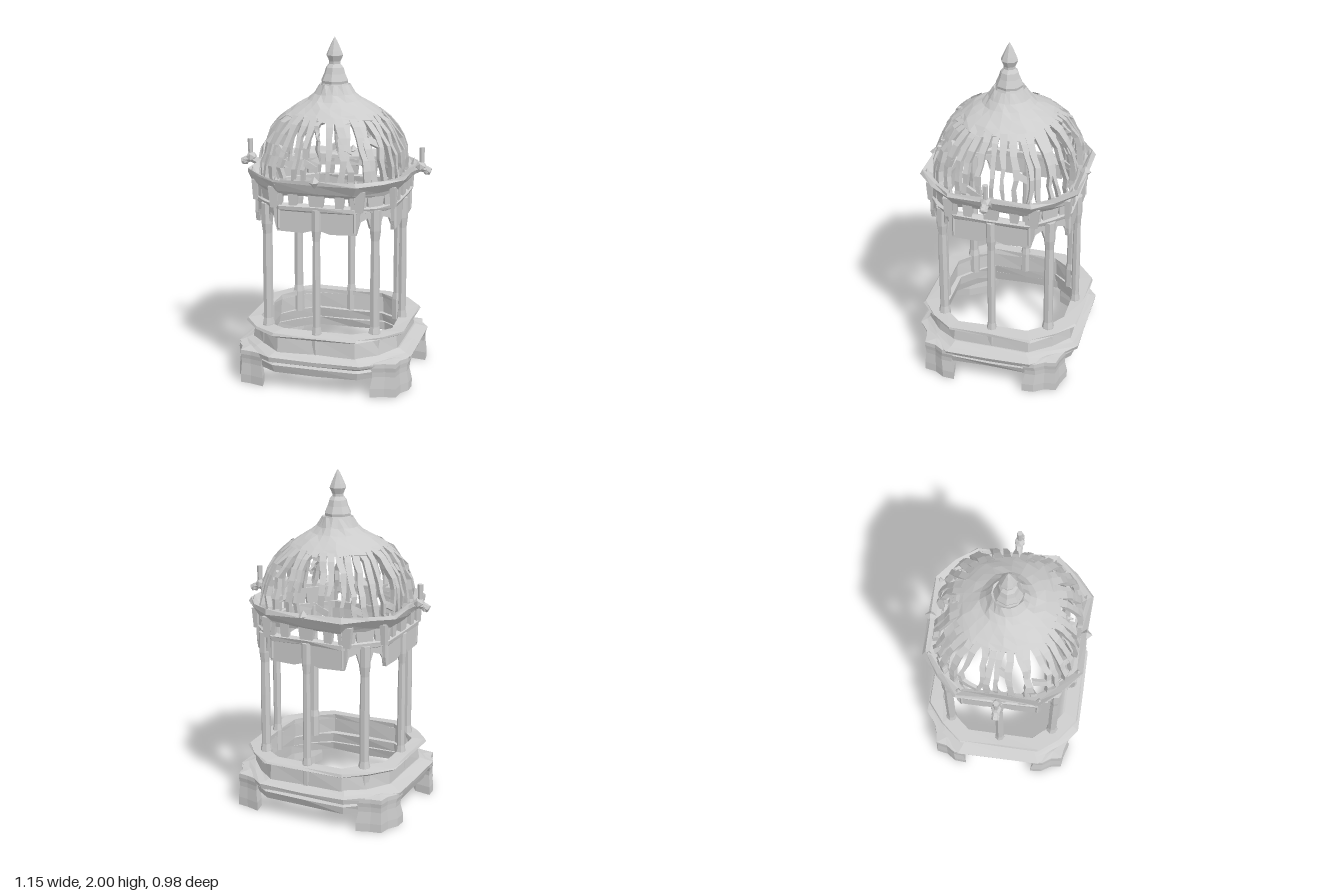
import * as THREE from 'three';

const mat = new THREE.MeshStandardMaterial({ color: 0xcccccc, flatShading: true, side: THREE.DoubleSide });
let seed = 7;
const rnd = () => (seed = (seed * 16807) % 2147483647) / 2147483647;
const wobble = (s) => (rnd() - 0.5) * s;

// Skin a list of equal closed loops; wrap joins the last loop to the first.
function loft(loops, wrap = false) {
  const n = loops[0].length, m = loops.length, pos = [], idx = [];
  loops.forEach((l) => l.forEach((p) => pos.push(p.x, p.y, p.z)));
  for (let i = 0; i < (wrap ? m : m - 1); i++)
    for (let j = 0; j < n; j++) {
      const k = (j + 1) % n, u = ((i + 1) % m) * n;
      idx.push(i * n + j, u + j, u + k, i * n + j, u + k, i * n + k);
    }
  let g = new THREE.BufferGeometry();
  g.setAttribute('position', new THREE.Float32BufferAttribute(pos, 3));
  g.setIndex(idx);
  g = g.toNonIndexed();
  g.computeVertexNormals();
  return g;
}

// Chamfered-square loop with half width h and slightly bowed chamfers
function octagon(h, y, sz, rough) {
  const w = h * 0.52, d = h * 0.785, out = [];
  const quarter = [[h, 0], [h, w], [d, d], [w, h]];
  for (let q = 0; q < 4; q++)
    for (const [px, pz] of quarter) {
      const [x, z] = [[px, pz], [-pz, px], [-px, -pz], [pz, -px]][q];
      out.push(new THREE.Vector3(x + wobble(rough), y + wobble(rough), z * sz + wobble(rough)));
    }
  return out;
}
const ring = (profile, sz = 1, rough = 0.01) => loft(profile.map(([h, y]) => octagon(h, y, sz, rough)), true);

// Dome surface: round at the neck, softly square at the eaves
const domeCurve = new THREE.SplineCurve([[0.415, 1.2], [0.42, 1.3], [0.395, 1.41], [0.33, 1.52], [0.24, 1.595], [0.14, 1.655], [0.09, 1.73]]
  .map(([r, y]) => new THREE.Vector2(r, y)));
function domePoint(t, a, inset) {
  const p = domeCurve.getPoint(t), c = Math.cos(a), s = Math.sin(a);
  const sq = 1 / Math.cbrt(Math.abs(c) ** 3 + Math.abs(s) ** 3);
  const r = (p.x - inset) * THREE.MathUtils.lerp(sq, 1, Math.min(1, t * 1.2));
  return new THREE.Vector3(c * r, p.y - inset * t, s * r);
}

export function createModel() {
  const model = new THREE.Group();
  const add = (name, geo, x = 0, y = 0, z = 0, parent = model) => {
    const m = new THREE.Mesh(geo, mat);
    m.name = name;
    m.position.set(x, y, z);
    parent.add(m);
    return m;
  };

  // Stepped base and low parapet
  add('lowerBase', ring([[0.475, 0.1], [0.488, 0.145], [0.47, 0.16], [0.42, 0.155], [0.43, 0.1]], 0.95));
  add('upperBase', ring([[0.48, 0.16], [0.515, 0.175], [0.52, 0.2], [0.485, 0.215], [0.45, 0.23], [0.40, 0.225], [0.41, 0.165]], 0.94));
  add('parapet', ring([[0.44, 0.22], [0.43, 0.32], [0.40, 0.32], [0.40, 0.22]]));
  add('parapetRail', ring([[0.445, 0.315], [0.478, 0.33], [0.472, 0.345], [0.395, 0.35], [0.395, 0.32]], 0.99));

  // Lobed corner feet
  const footPlan = [[0.52, 0.21], [0.515, 0.28], [0.478, 0.335], [0.465, 0.405], [0.40, 0.415], [0.32, 0.44], [0.335, 0.36], [0.42, 0.23]];
  for (const sx of [-1, 1]) for (const sz of [-1, 1]) {
    const loops = [[0, 0], [1, 0], [1, 0.05], [0.88, 0.12], [0.9, 0.15], [0.97, 0.175], [0.95, 0.2], [0, 0.21]].map(([k, y]) =>
      footPlan.map(([x, z]) => new THREE.Vector3(sx * (0.425 + (x - 0.425) * k), y, sz * (0.345 + (z - 0.345) * k))));
    if (sx * sz < 0) loops.forEach((l) => l.reverse());
    add('foot', loft(loops));
  }

  // Eight columns, slender at the sides and stouter on the corners
  const columnGeo = new THREE.LatheGeometry([[0, 0.22], [0.03, 0.22], [0.03, 0.35], [0.023, 0.39], [0.024, 0.7], [0.021, 0.9],
    [0.028, 0.96], [0.028, 1.08], [0, 1.08]].map(([r, y]) => new THREE.Vector2(r, y)), 7);
  for (let i = 0; i < 8; i++) {
    const a = (i * Math.PI) / 4, r = i % 2 ? 0.45 : 0.412;
    const col = add('column', columnGeo, Math.cos(a) * r, 0, Math.sin(a) * r);
    if (i % 2) col.scale.set(1.2, 1, 1.2);
  }

  // Hanging valances: deep panels on the sides, arched ones on the corners
  const panel = (pts) => {
    const s = new THREE.Shape(pts.map(([x, y]) => new THREE.Vector2(x, y)));
    return new THREE.ExtrudeGeometry(s, { depth: 0.022, bevelEnabled: false });
  };
  const sidePanel = panel([[-0.25, 1.08], [-0.245, 1.0], [-0.23, 0.945], [-0.08, 0.94], [-0.03, 0.955], [0.03, 0.955], [0.08, 0.94],
    [0.23, 0.945], [0.245, 1.0], [0.25, 1.08]]);
  const cornerPanel = panel([[-0.14, 1.08], [-0.14, 0.96], [-0.125, 0.95], [-0.095, 1.02], [-0.05, 1.035], [-0.03, 0.97], [0.03, 0.97],
    [0.05, 1.035], [0.095, 1.02], [0.125, 0.95], [0.14, 0.96], [0.14, 1.08]]);
  for (let i = 0; i < 8; i++) {
    const corner = i % 2 === 1;
    const holder = new THREE.Group();
    holder.name = corner ? 'cornerValance' : 'sideValance';
    holder.rotation.y = (i * Math.PI) / 4;
    model.add(holder);
    add('valancePanel', corner ? cornerPanel : sidePanel, 0, 0, corner ? 0.43 : 0.388, holder);
    // Frieze posts above the valance, spreading into the cornice
    for (const [x, w] of corner ? [[-0.1, 0.08], [0, 0.1], [0.1, 0.08]] : [[-0.235, 0.075], [-0.135, 0.05], [0, 0.085], [0.135, 0.05], [0.235, 0.075]])
      add('friezePost', new THREE.CylinderGeometry(w * 0.85, w * 0.62, 0.12, 4, 1).rotateY(Math.PI / 4).scale(1, 1, 0.028 / w),
        x, 1.14, corner ? 0.44 : 0.405, holder);
  }

  // Entablature and flared cornice
  add('architrave', ring([[0.405, 1.06], [0.42, 1.07], [0.425, 1.095], [0.40, 1.105], [0.38, 1.1], [0.38, 1.06]]));
  add('cornice', ring([[0.41, 1.155], [0.43, 1.18], [0.46, 1.235], [0.452, 1.255], [0.425, 1.235], [0.395, 1.22], [0.39, 1.16]], 1, 0.016));
  for (let i = 0; i < 8; i++) {
    const a = Math.PI / 8 + (i * Math.PI) / 4 + (i % 2 ? -0.1 : 0.1);
    add('cornicePoint', new THREE.ConeGeometry(0.025, 0.05, 4), Math.cos(a) * 0.485, 1.245, Math.sin(a) * 0.485);
  }

  // Solid crown of the dome, slightly uneven
  const crown = [];
  const steps = [0.57, 0.64, 0.72, 0.8, 0.88, 1];
  for (const [list, inset] of [[steps, 0], [[...steps].reverse(), 0.022]])
    for (const t of list)
      crown.push(Array.from({ length: 22 }, (_, j) => domePoint(t + (t < 0.6 ? wobble(0.05) : 0),
        (j / 22) * Math.PI * 2 + wobble(0.08), inset + wobble(0.008))));
  add('domeCrown', loft(crown, true));

  // Irregular tapering ribs, broken short at the middle of front and back
  const count = 40;
  for (let i = 0; i < count; i++) {
    const a0 = (i / count) * Math.PI * 2, lean = wobble(0.16), wide = 0.018 + rnd() * 0.024;
    const broken = i % 20 === 10;
    const loops = [];
    for (let k = 0; k <= 7; k++) {
      const f = k / 7, t = THREE.MathUtils.lerp(broken ? 0.42 : 0, 0.61, f);
      const a = a0 + lean * Math.sin(f * Math.PI) + wobble(0.04);
      const hw = (broken ? 0.01 + f * 0.06 : THREE.MathUtils.lerp(wide, 0.078, f ** 3)) + wobble(0.012);
      const dip = wobble(0.016);
      loops.push([[-hw, 0], [hw, 0], [hw * 0.7, 0.03], [-hw * 0.7, 0.03]].map(([d, inset]) => domePoint(t, a + d, inset + dip)));
    }
    add('domeRib', loft(loops));
    // Bridge joining some neighbouring ribs
    if (i % 3 === 1) {
      const t = 0.05 + rnd() * 0.35;
      const web = [0, 0.06, 0.12].map((d) => [[0.03, 0], [-0.03, 0], [-0.03, 0.02], [0.03, 0.02]]
        .map(([dt, inset]) => domePoint(t + dt + d * 0.5, a0 + Math.PI / count - 0.09 + d * 1.5, inset)));
      add('ribBridge', loft(web));
    }
  }

  // Finial
  add('finial', new THREE.LatheGeometry([[0.13, 1.655], [0.1, 1.69], [0.077, 1.735], [0.08, 1.75], [0.062, 1.79], [0.052, 1.825], [0.034, 1.845],
    [0.034, 1.86], [0.05, 1.895], [0.04, 1.92], [0.015, 1.975], [0, 2]].map(([r, y]) => new THREE.Vector2(r, y)), 8));

  // Side hooks with upright knobs, and small bosses at front and back
  for (const s of [-1, 1]) {
    const path = new THREE.CatmullRomCurve3([[0.41, 1.19], [0.47, 1.24], [0.52, 1.26], [0.57, 1.24]]
      .map(([x, y]) => new THREE.Vector3(s * x, y, 0)));
    add('hookArm', new THREE.TubeGeometry(path, 6, 0.022, 6));
    add('hookTip', new THREE.IcosahedronGeometry(0.026, 0), s * 0.55, 1.245, 0);
    add('hookKnob', new THREE.IcosahedronGeometry(0.034, 0), s * 0.512, 1.27, 0);
    add('hookUpright', new THREE.CylinderGeometry(0.017, 0.013, 0.11, 6), s * 0.518, 1.325, 0);
    add('boss', new THREE.OctahedronGeometry(0.035, 0), 0, 1.245, s * 0.45);
  }
  return model;
}
